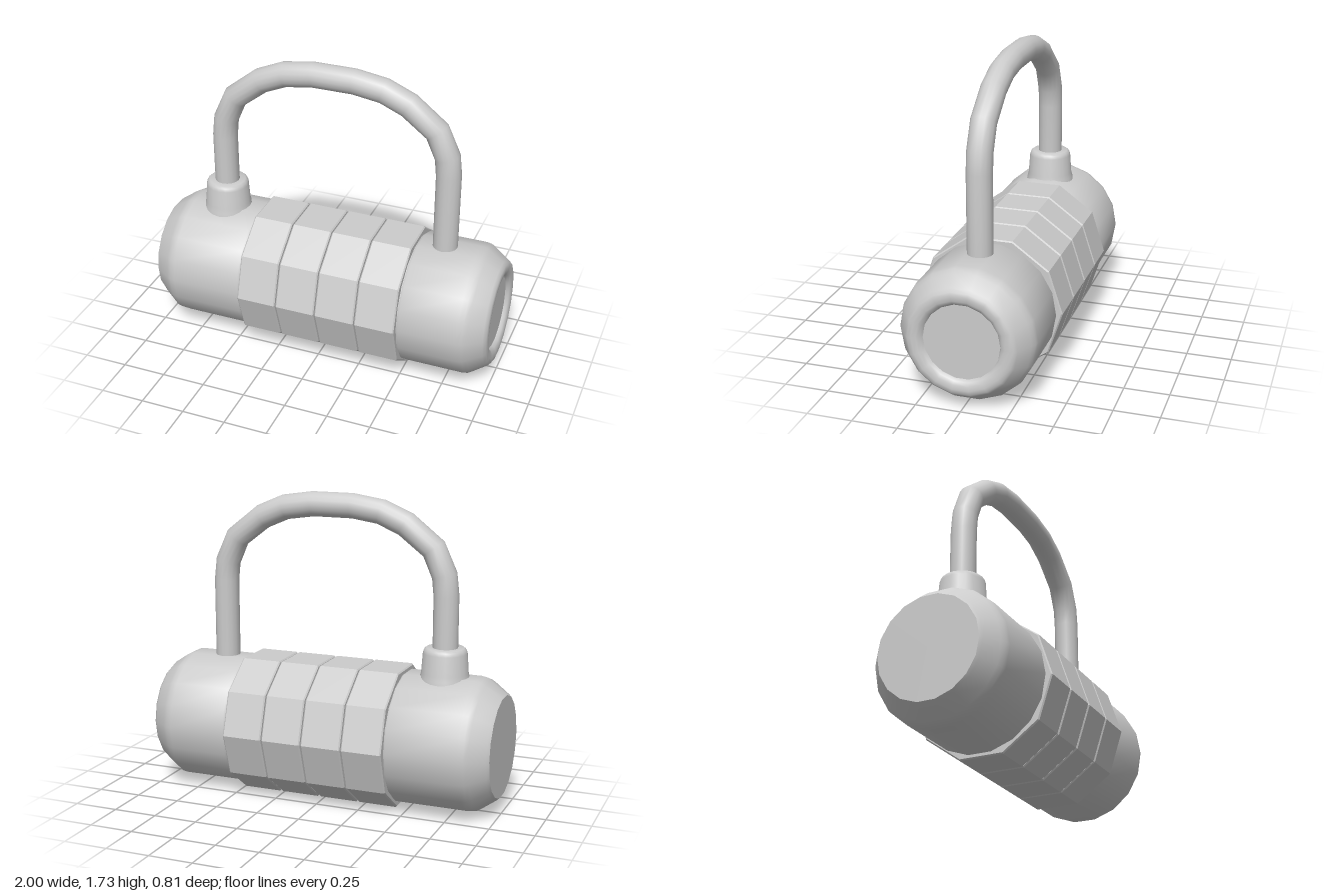
import * as THREE from 'three';
import { toCreasedNormals } from 'three/addons/utils/BufferGeometryUtils.js';

const AXIS_Y = 0.388;
const LEG_X = 0.66;

export function createModel() {
  const group = new THREE.Group();
  group.name = 'combinationPadlock';
  const smooth = new THREE.MeshStandardMaterial({ color: 0xcccccc });
  const faceted = new THREE.MeshStandardMaterial({ color: 0xcccccc, flatShading: true });

  const add = (name, geometry, material = smooth) => {
    const mesh = new THREE.Mesh(geometry, material);
    mesh.name = name;
    group.add(mesh);
    return mesh;
  };
  const lathe = (profile, sides) =>
    new THREE.LatheGeometry(profile.map(([r, h]) => new THREE.Vector2(r, h)), sides);
  // Profile of [radius, x] pairs turned round the horizontal barrel axis
  const barrel = (profile, sides) =>
    lathe(profile, sides).rotateZ(-Math.PI / 2).translate(0, AXIS_Y, 0);

  // Plain end, closed by a flat disc
  add('rightEndCap', toCreasedNormals(barrel([
    [0, -1], [0.285, -1], [0.298, -0.985], [0.355, -0.905], [0.37, -0.88],
    [0.375, -0.85], [0.375, -0.45], [0.368, -0.438], [0, -0.438],
  ], 18), 0.8));

  // Other end, with a rounded rim round a shallow recess
  add('leftEndCap', toCreasedNormals(barrel([
    [0, 0.508], [0.368, 0.508], [0.375, 0.52], [0.375, 0.85], [0.37, 0.88],
    [0.355, 0.905], [0.305, 0.98], [0.288, 0.996], [0.265, 1], [0.24, 0.997],
    [0.22, 0.988], [0.21, 0.97], [0, 0.97],
  ], 18), 0.8));

  // Core seen in the gaps between the dials
  add('core', barrel([[0.36, -0.45], [0.36, 0.52]], 18));

  // Four ten-sided number dials
  const pitch = 0.236;
  for (let i = 0; i < 4; i++) {
    const a = -0.438 + i * pitch + 0.003;
    const b = a + pitch - 0.006;
    add(`dial${i + 1}`, barrel([
      [0.3, a], [0.398, a], [0.405, a + 0.007],
      [0.405, b - 0.007], [0.398, b], [0.3, b],
    ], 10), faceted);
  }

  // Collar where the shackle locks in
  const collar = add('shackleCollar', toCreasedNormals(lathe([
    [0.145, 0.7], [0.137, 0.75], [0.13, 0.775], [0.122, 0.885],
    [0.116, 0.904], [0.104, 0.914], [0.05, 0.914],
  ], 20), 0.9));
  collar.position.x = -LEG_X;

  // Shackle: half of the centre line, mirrored to the other leg
  const half = [
    [LEG_X, 0.7], [LEG_X, 1.2], [0.648, 1.31], [0.585, 1.45],
    [0.425, 1.575], [0.285, 1.635], [0.117, 1.66],
  ];
  const path = [...half.map(([x, y]) => [-x, y]), ...half.slice().reverse()]
    .map(([x, y]) => new THREE.Vector3(x, y, 0));
  const last = path.length - 1;
  // One tube ring per path point, mitred between its neighbours
  const curve = new THREE.Curve();
  curve.getPointAt = (u, target = new THREE.Vector3()) =>
    target.copy(path[Math.round(u * last)]);
  curve.getTangentAt = (u, target = new THREE.Vector3()) => {
    const i = Math.round(u * last);
    const before = path[i].clone().sub(path[Math.max(i - 1, 0)]).normalize();
    const after = path[Math.min(i + 1, last)].clone().sub(path[i]).normalize();
    return target.copy(before.add(after)).normalize();
  };
  add('shackle', new THREE.TubeGeometry(curve, last, 0.07, 16, false));

  return group;
}
